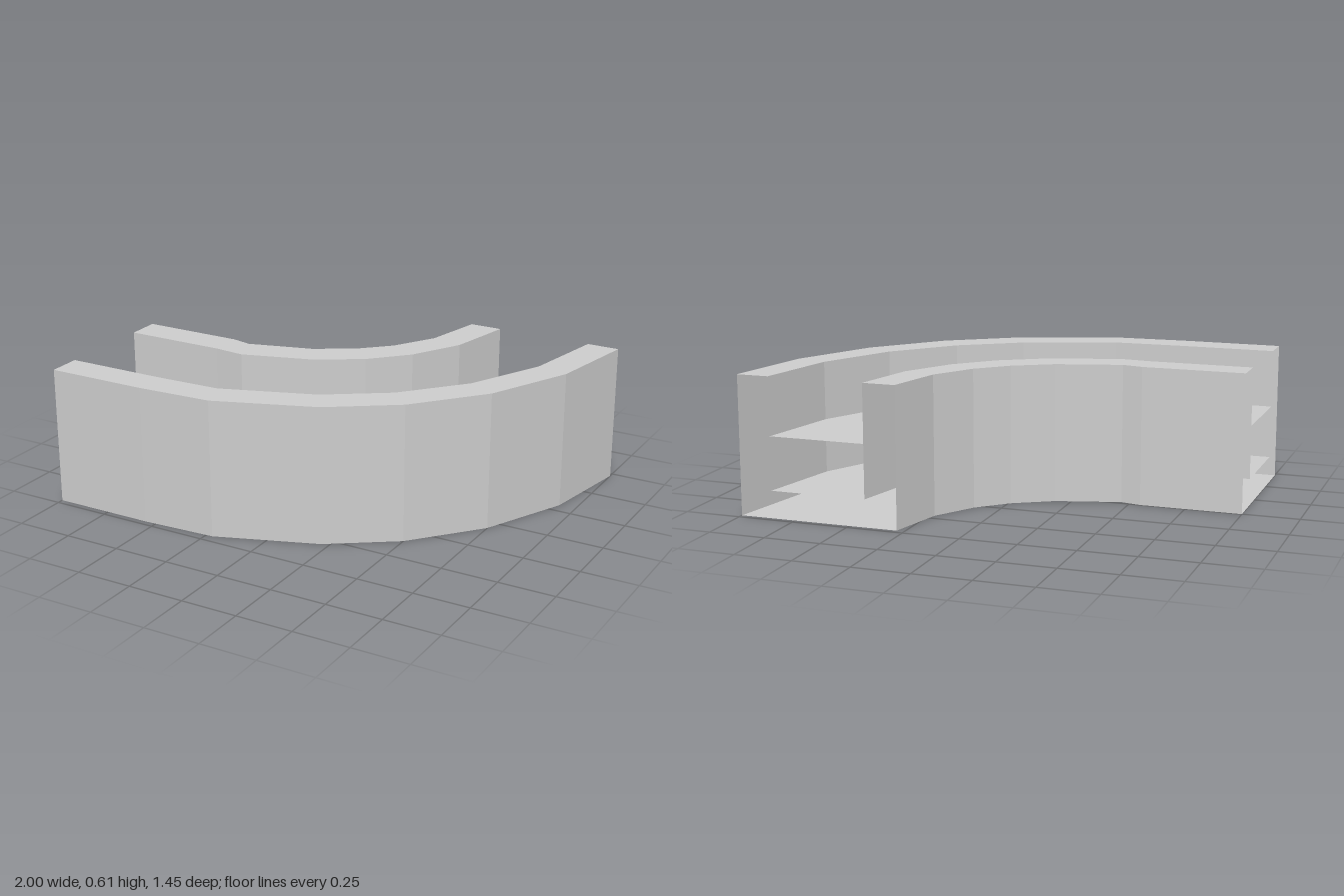
import * as THREE from 'three';

// Inner and outer plan edges of the bend, [x, z] at each station
const inner = [[-1, 0], [-0.55, 0], [-0.46, 0.02], [-0.18, -0.06], [-0.01, -0.16], [0.115, -0.28], [0.225, -0.46], [0.285, -0.725]];
const outer = [[-1, 0.722], [-0.55, 0.722], [-0.22, 0.705], [0.215, 0.545], [0.5, 0.35], [0.75, 0.06], [0.925, -0.31], [1, -0.725]];

const H = 0.61, FLOOR = 0.12, SHELF = 0.355;
const A = 0.2, B = 0.8; // channel faces, as a fraction of the width

const material = new THREE.MeshStandardMaterial({ color: 0xcccccc, flatShading: true, side: THREE.DoubleSide });

// Sweeps a section of [fraction across, height] points along the stations
function sweep(name, section) {
  const positions = [], index = [], n = section.length;
  inner.forEach(([x0, z0], i) => {
    const [x1, z1] = outer[i];
    for (const [t, y] of section) positions.push(x0 + (x1 - x0) * t, y, z0 + (z1 - z0) * t);
  });
  for (let i = 0; i < inner.length - 1; i++) {
    for (let j = 0; j < n - 1; j++) {
      const a = i * n + j, b = a + n;
      index.push(a, b, b + 1, a, b + 1, a + 1);
    }
  }
  const geometry = new THREE.BufferGeometry();
  geometry.setAttribute('position', new THREE.Float32BufferAttribute(positions, 3));
  geometry.setIndex(index);
  geometry.computeVertexNormals();
  const mesh = new THREE.Mesh(geometry, material);
  mesh.name = name;
  return mesh;
}

export function createModel() {
  const group = new THREE.Group();
  group.name = 'curvedChannel';
  group.add(
    // Hollow U shell, open at both ends
    sweep('base', [[0, 0], [1, 0]]),
    sweep('outerWall', [[1, 0], [1, H], [B, H], [B, FLOOR]]),
    sweep('channelFloor', [[B, FLOOR], [A, FLOOR]]),
    sweep('innerWall', [[A, FLOOR], [A, H], [0, H], [0, 0]]),
    // Thin sheet spanning the channel above its floor
    sweep('shelf', [[B, SHELF], [A, SHELF]])
  );
  return group;
}
